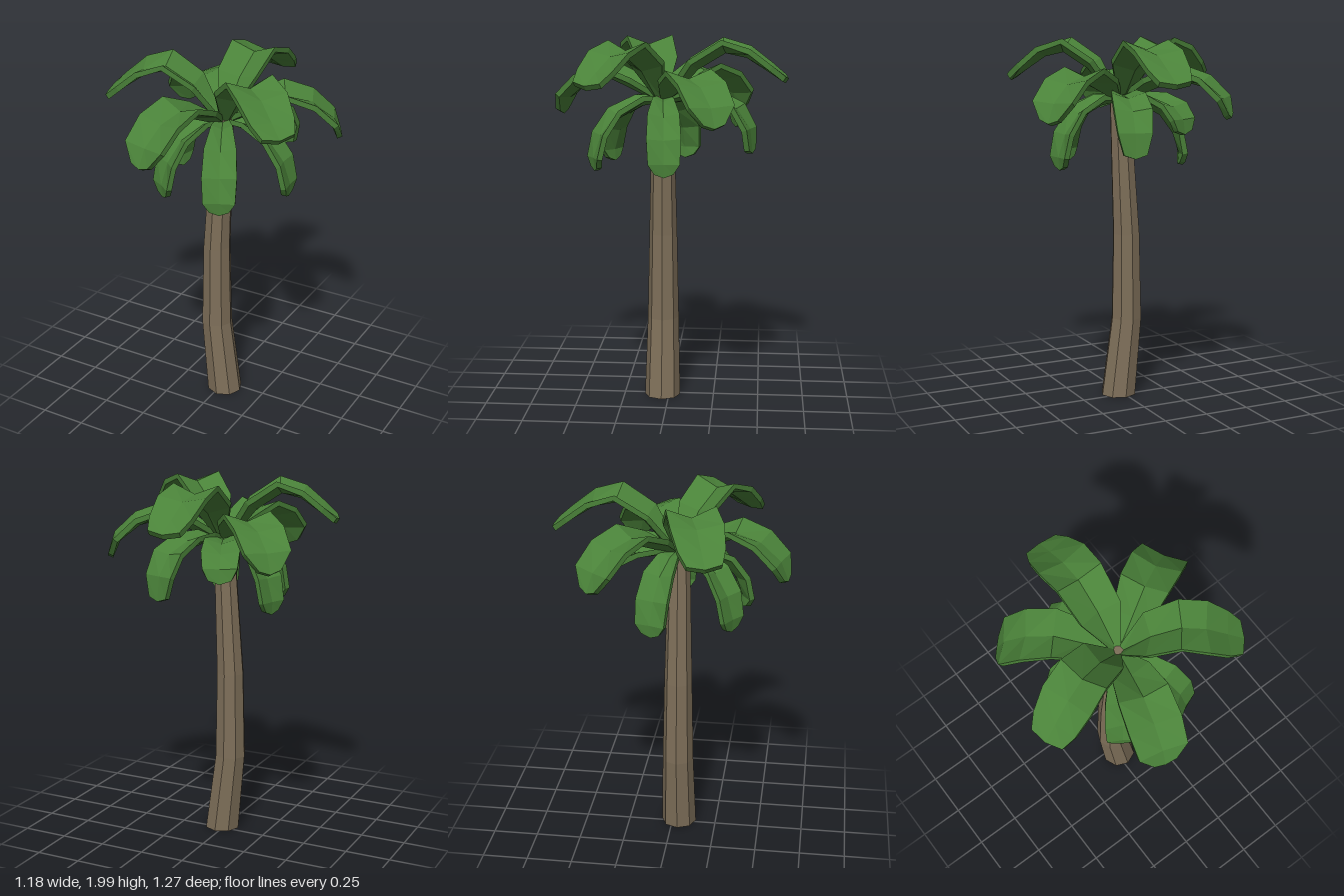
import * as THREE from 'three';

const CENTER = { x: 0.01, z: 0.035 };
const BASE_Y = 1.66;
const THICKNESS = 0.03;
const TIP_SETBACK = 0.02;

// Frond keel stations: [reach, height, half width, depth of the V fold]
const TOP = [
  [0.02, 1.68, 0.025, 0.015], [0.17, 1.85, 0.115, 0.045], [0.33, 1.945, 0.13, 0.05],
  [0.46, 1.92, 0.137, 0.03], [0.58, 1.845, 0.12, 0.016], [0.675, 1.785, 0.09, 0.005],
];
const MIDDLE = [
  [0.02, 1.68, 0.025, 0.015], [0.17, 1.745, 0.1, 0.045], [0.32, 1.805, 0.13, 0.046],
  [0.46, 1.77, 0.137, 0.03], [0.575, 1.68, 0.128, 0.016], [0.62, 1.58, 0.06, 0.005],
];
const RAISED = [
  [0.02, 1.68, 0.025, 0.01], [0.14, 1.695, 0.065, 0.03], [0.28, 1.69, 0.09, 0.032],
  [0.42, 1.635, 0.1, 0.022], [0.495, 1.53, 0.09, 0.008], [0.51, 1.4, 0.06, 0.003],
];
const LOWER = [
  [0.02, 1.68, 0.025, 0.01], [0.12, 1.665, 0.055, 0.03], [0.25, 1.6, 0.083, 0.032],
  [0.335, 1.49, 0.09, 0.022], [0.375, 1.37, 0.083, 0.008], [0.37, 1.3, 0.05, 0.003],
];

// name, profile, direction x, direction z, reach scale, drop scale
const FRONDS = [
  ['topFrond', TOP, 0.01, -0.68, 1, 1],
  ['topFrond', TOP, 0.49, 0.34, 0.92, 1],
  ['topFrond', TOP, -0.575, 0.195, 0.92, 1],
  ['middleFrond', MIDDLE, 0.56, -0.31, 1.01, 1],
  ['middleFrond', MIDDLE, -0.46, -0.415, 1, 1],
  ['middleFrond', MIDDLE, -0.15, 0.58, 0.98, 1],
  ['raisedFrond', RAISED, 0.145, -0.49, 1, 1],
  ['raisedFrond', RAISED, -0.18, -0.42, 0.89, 0.6],
  ['lowerFrond', LOWER, 0.175, 0.36, 1.06, 1],
  ['lowerFrond', LOWER, 0.38, -0.035, 1.02, 1],
  ['lowerFrond', LOWER, -0.35, -0.115, 0.95, 1],
  ['lowerFrond', LOWER, -0.195, 0.3, 0.98, 1],
];

// Separate faces so every facet has its own normal
function faceted(geometry) {
  const flat = geometry.toNonIndexed();
  flat.computeVertexNormals();
  return flat;
}

// Thick V-folded leaf: six-point cross-sections (upper face, then lower face) swept along the keel
function frondGeometry(profile, dx, dz, reach, drop) {
  const len = Math.hypot(dx, dz), ux = dx / len, uz = dz / len;
  const keel = profile.map(([r, y]) => [r * reach, BASE_Y + (y - BASE_Y) * drop]);
  const last = keel.length - 1;
  const positions = [], index = [];
  keel.forEach(([kr, ky], i) => {
    const [, , half, depth] = profile[i];
    const a = keel[Math.max(i - 1, 0)], b = keel[Math.min(i + 1, last)];
    const t = Math.hypot(b[0] - a[0], b[1] - a[1]);
    const tr = (b[0] - a[0]) / t, ty = (b[1] - a[1]) / t;
    [-1, 0, 1, 1, 0, -1].forEach((side, j) => {
      const lift = (side === 0 ? 0 : depth) - (j < 3 ? 0 : THICKNESS);
      const back = i === last && side !== 0 ? TIP_SETBACK : 0;
      const r = kr - ty * lift - tr * back, y = ky + tr * lift - ty * back;
      positions.push(
        CENTER.x + ux * r - uz * half * side, y, CENTER.z + uz * r + ux * half * side);
    });
    if (i === 0) return;
    for (let j = 0; j < 6; j++) {
      const p = (i - 1) * 6 + j, n = (i - 1) * 6 + (j + 1) % 6;
      index.push(p, n, p + 6, n, n + 6, p + 6);
    }
  });
  // Close the root and the tip
  for (const [p, q, r] of [[0, 1, 4], [0, 4, 5], [1, 2, 3], [1, 3, 4]]) {
    const e = last * 6;
    index.push(e + p, e + q, e + r, p, r, q);
  }
  const geometry = new THREE.BufferGeometry();
  geometry.setAttribute('position', new THREE.Float32BufferAttribute(positions, 3));
  geometry.setIndex(index);
  return faceted(geometry);
}

// Eight-sided trunk bent through a few rings: [height, centre x, centre z, radius]
function trunkGeometry() {
  const rings = [
    [0, 0.02, 0.037, 0.099], [0.44, -0.03, 0.036, 0.087],
    [0.92, -0.029, 0.036, 0.077], [1.69, 0.01, 0.035, 0.058],
  ];
  const geometry = new THREE.CylinderGeometry(1, 1, 1, 8, rings.length - 1);
  const p = geometry.attributes.position;
  for (let i = 0; i < p.count; i++) {
    const [y, cx, cz, r] = rings[Math.round((p.getY(i) + 0.5) * (rings.length - 1))];
    p.setXYZ(i, cx + p.getX(i) * r, y, cz + p.getZ(i) * r);
  }
  return faceted(geometry);
}

export function createModel() {
  const bark = new THREE.MeshStandardMaterial({ color: 0x7e6f59 });
  bark.name = 'bark brown';
  const leaf = new THREE.MeshStandardMaterial({ color: 0x4a8239 });
  leaf.name = 'leaf green';

  const palm = new THREE.Group();
  palm.name = 'palmTree';

  const trunk = new THREE.Mesh(trunkGeometry(), bark);
  trunk.name = 'trunk';
  palm.add(trunk);

  // Crown of three tiers, with two raised fronds at the back
  const crown = new THREE.Group();
  crown.name = 'crown';
  for (const [name, ...shape] of FRONDS) {
    const frond = new THREE.Mesh(frondGeometry(...shape), leaf);
    frond.name = name;
    crown.add(frond);
  }
  palm.add(crown);
  return palm;
}
